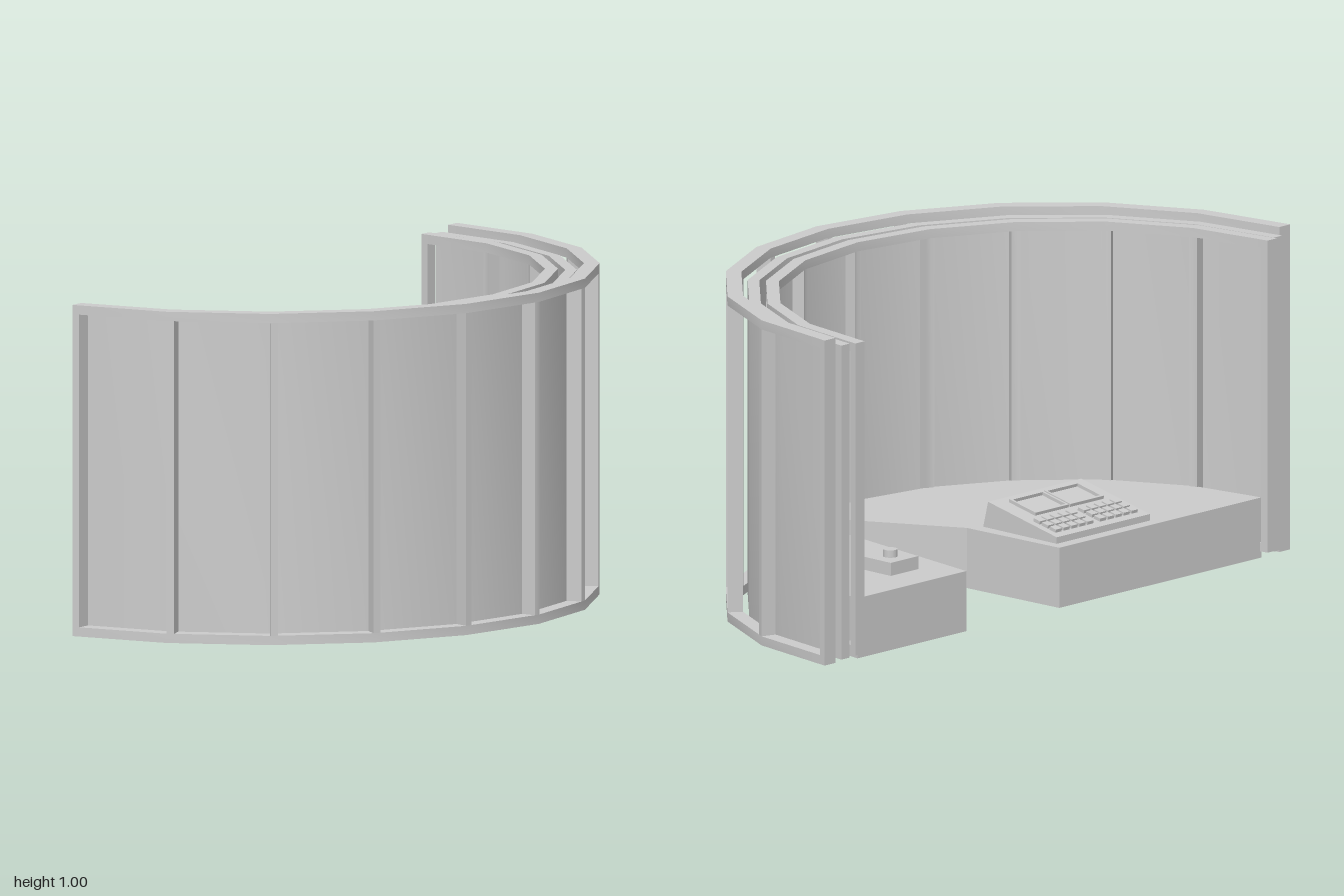
import * as THREE from 'three';
import { toCreasedNormals } from 'three/addons/utils/BufferGeometryUtils.js';

const grey = new THREE.MeshStandardMaterial({ color: 0xcccccc });
const STEP = 18; // degrees per wall facet
const rad = THREE.MathUtils.degToRad;

function add(parent, geometry, name, x = 0, y = 0, z = 0) {
  const mesh = new THREE.Mesh(geometry, grey);
  mesh.name = name;
  mesh.position.set(x, y, z);
  parent.add(mesh);
  return mesh;
}

// Point [x, z] on a faceted arc; angle runs from +z (0) over +x (90) to -z (180)
function arcPoint(cx, r, deg) {
  const inFacet = ((deg % STEP) + STEP) % STEP;
  const d = r * Math.cos(rad(STEP / 2)) / Math.cos(rad(inFacet - STEP / 2));
  return [cx + d * Math.sin(rad(deg)), d * Math.cos(rad(deg))];
}

// Arc points including every facet corner between the two angles
function arc(cx, r, a0, a1) {
  const angles = [a0];
  for (let a = (Math.floor(a0 / STEP) + 1) * STEP; a < a1; a += STEP) angles.push(a);
  angles.push(a1);
  return angles.map(a => arcPoint(cx, r, a));
}

// Upright prism over a plan outline of [x, z] points
function prism(plan, y0, y1) {
  const shape = new THREE.Shape(plan.map(([x, z]) => new THREE.Vector2(x, -z)));
  const geo = new THREE.ExtrudeGeometry(shape, { depth: y1 - y0, bevelEnabled: false });
  return geo.rotateX(-Math.PI / 2).translate(0, y0, 0);
}

function sector(cx, r0, r1, y0, y1, a0, a1) {
  const plan = [...arc(cx, r1, a0, a1), ...arc(cx, r0, a0, a1).reverse()];
  return toCreasedNormals(prism(plan, y0, y1), 0.4);
}

// Curved frame: two rails joined by a post at each facet corner
function wallFrame(name, cx, r0, r1, y0, y1, rail, postRanges) {
  const frame = new THREE.Group();
  frame.name = name;
  add(frame, sector(cx, r0, r1, y0, y0 + rail, 0, 180), 'bottomRail');
  add(frame, sector(cx, r0, r1, y1 - rail, y1, 0, 180), 'topRail');
  for (const [a, b] of postRanges) {
    add(frame, sector(cx, r0, r1, y0 + rail, y1 - rail, a, b), 'post');
  }
  return frame;
}

export function createModel() {
  const model = new THREE.Group();
  model.name = 'curvedControlRoom';

  // Three nested wall layers, each shifted slightly toward the open side
  const outerPosts = [[89, 90.2]];
  const innerPosts = [[89.1, 90.9]];
  for (let k = 0; k < 5; k++) {
    const a = k * STEP;
    outerPosts.push([a, a + 1.3], [180 - a - 1.3, 180 - a]);
    const lo = Math.max(0, a - 0.9), hi = a + (k ? 0.9 : 1.6);
    innerPosts.push([lo, hi], [180 - hi, 180 - lo]);
  }
  model.add(wallFrame('outerFrame', -0.482, 0.953, 1, 0, 1, 0.028, outerPosts));
  add(model, sector(-0.5, 0.912, 0.947, 0.012, 0.978, 0, 180), 'wallPanels');
  model.add(wallFrame('innerFrame', -0.518, 0.866, 0.905, 0.02, 0.98, 0.028, innerPosts));

  // Two floor platforms, split by a wedge-shaped gap
  const FLOOR = 0.185, CX = -0.518, R = 0.872, EDGE = -0.49;
  const cut = 1.85; // angle where the arc meets the straight edge
  add(model, prism([
    [EDGE, 0], ...arc(CX, R, cut, 106.8), [-0.12, -0.015],
  ], 0, FLOOR), 'frontPlatform');
  add(model, prism([
    [EDGE, -0.4], ...arc(CX, R, 109.2, 180 - cut),
  ], 0, FLOOR), 'backPlatform');

  // Sloping control desk
  const desk = new THREE.Group();
  desk.name = 'controlDesk';
  desk.position.set(-0.45, FLOOR, 0.03);
  model.add(desk);
  const side = new THREE.Shape([[0, 0], [0.305, 0], [0.285, 0.08], [0, 0.02]]
    .map(([x, y]) => new THREE.Vector2(x, y)));
  add(desk, new THREE.ExtrudeGeometry(side, { depth: 0.4, bevelEnabled: false }), 'deskBody');

  const face = new THREE.Group(); // local x runs up the slope, y is its normal
  face.name = 'deskFace';
  face.position.y = 0.02;
  face.rotation.z = Math.atan2(0.06, 0.285);
  desk.add(face);

  // Raised bezels around two screens
  for (const z of [0.13, 0.28]) {
    for (const s of [-1, 1]) {
      add(face, new THREE.BoxGeometry(0.008, 0.012, 0.14), 'screenBezel', 0.205 + s * 0.052, 0.004, z);
      add(face, new THREE.BoxGeometry(0.112, 0.012, 0.008), 'screenBezel', 0.205, 0.004, z + s * 0.068);
    }
  }
  // Two banks of keys
  for (const start of [0.035, 0.225]) {
    for (let row = 0; row < 3; row++) {
      for (let col = 0; col < 5; col++) {
        add(face, new THREE.BoxGeometry(0.026, 0.012, 0.026), 'key',
          0.04 + row * 0.034, 0.004, start + col * 0.034);
      }
    }
  }

  // Small button pedestal on the back platform
  add(model, new THREE.BoxGeometry(0.12, 0.04, 0.12), 'buttonBase', -0.31, FLOOR + 0.02, -0.54);
  add(model, new THREE.CylinderGeometry(0.022, 0.022, 0.025, 12), 'button', -0.31, FLOOR + 0.05, -0.54);

  return model;
}
